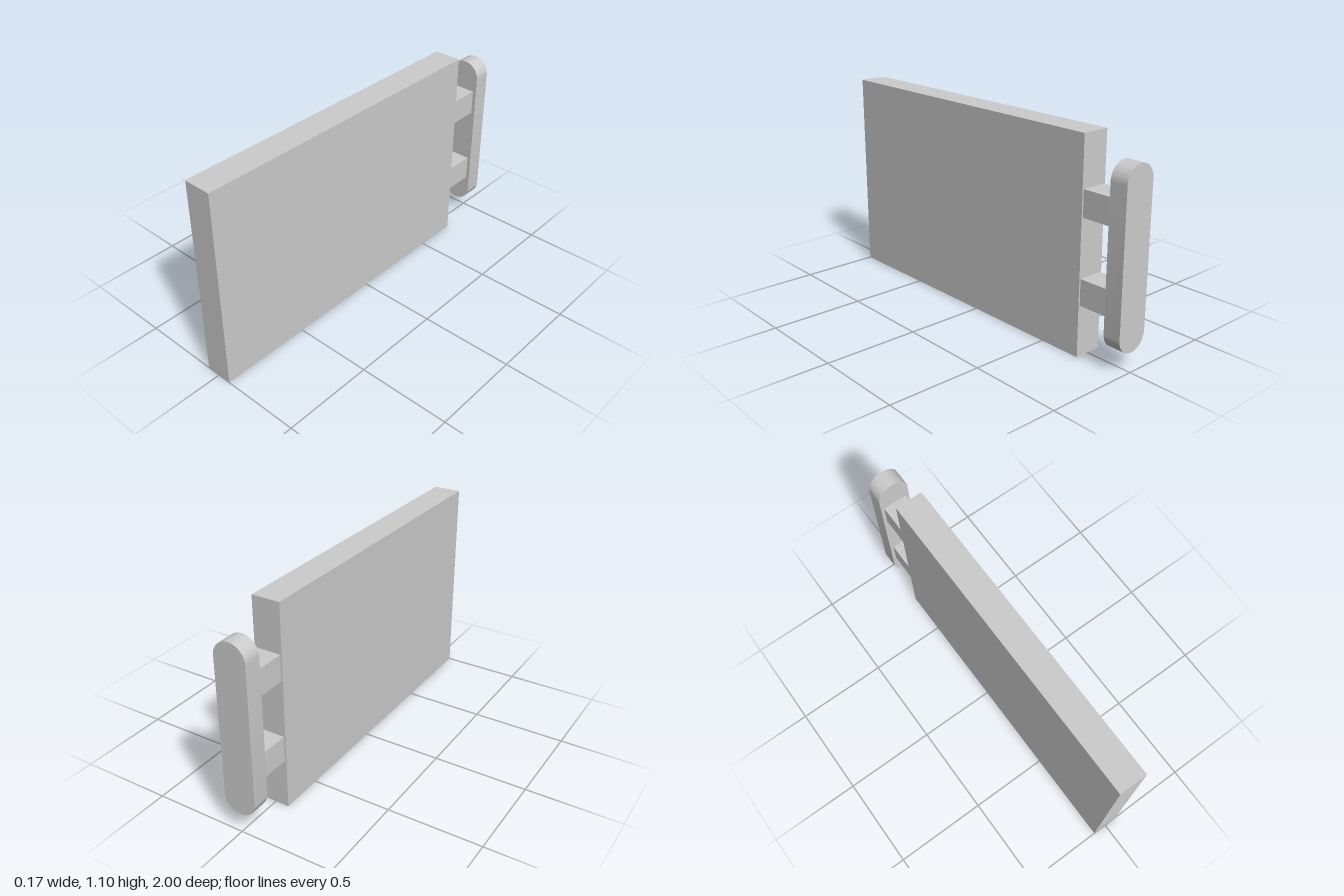
import * as THREE from 'three';
import { toCreasedNormals } from 'three/addons/utils/BufferGeometryUtils.js';

const material = new THREE.MeshStandardMaterial({ color: 0xcccccc });

function addMesh(group, name, geometry, x, y, z) {
  const mesh = new THREE.Mesh(geometry, material);
  mesh.name = name;
  mesh.position.set(x, y, z);
  group.add(mesh);
}

export function createModel() {
  const group = new THREE.Group();
  group.name = 'bracketedPanel';

  const backZ = -1, plateFrontZ = -0.905, panelBackZ = -0.735;

  // Large flat panel
  const panelLength = 1 - panelBackZ;
  addMesh(group, 'panel', new THREE.BoxGeometry(0.15, 1.1, panelLength),
    0, 0.55, 1 - panelLength / 2);

  // Two short arms joining the panel to the mounting plate
  const armLength = panelBackZ - plateFrontZ;
  for (const [name, y] of [['lowerArm', 0.335], ['upperArm', 0.772]]) {
    addMesh(group, name, new THREE.BoxGeometry(0.134, 0.136, armLength),
      0, y, plateFrontZ + armLength / 2);
  }

  // Mounting plate with rounded ends
  const r = 0.0865, low = 0.103 + r, high = 1.005 - r;
  const outline = new THREE.Shape();
  outline.absarc(0, high, r, 0, Math.PI, false);
  outline.absarc(0, low, r, Math.PI, Math.PI * 2, false);
  outline.closePath();
  const plate = new THREE.ExtrudeGeometry(outline, {
    depth: plateFrontZ - backZ, bevelEnabled: false, curveSegments: 16,
  });
  addMesh(group, 'mountingPlate', toCreasedNormals(plate, 0.6), 0, 0, backZ);

  return group;
}
